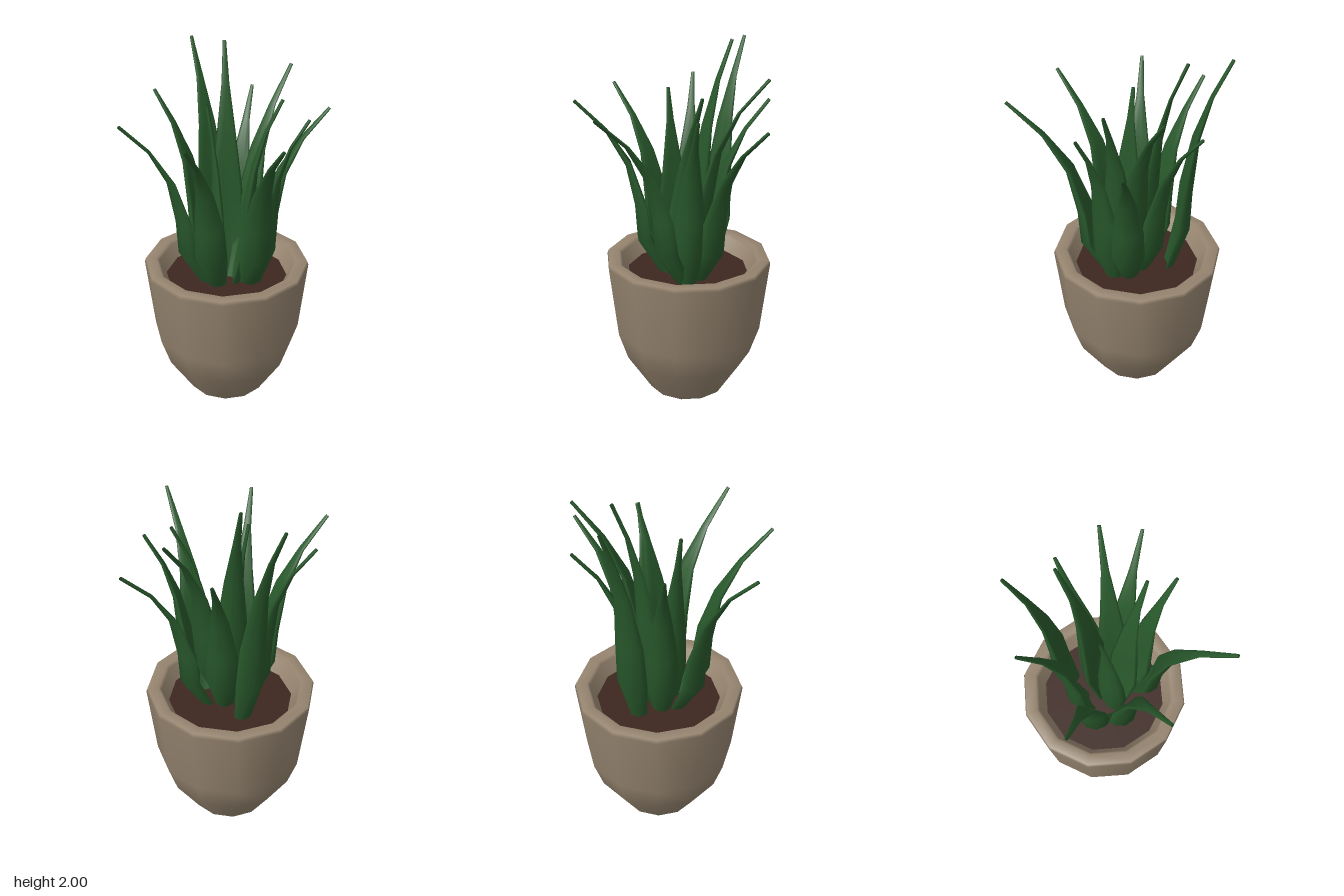
import * as THREE from 'three';

const SIDES = 12;

const material = (color) => new THREE.MeshStandardMaterial({ color });
const potMat = material(0x95846f);
const soilMat = material(0x3d2720);
const leafMat = material(0x28582b);

function addMesh(parent, name, geometry, mat) {
  const mesh = new THREE.Mesh(geometry, mat);
  mesh.name = name;
  parent.add(mesh);
  return mesh;
}

// Rings shared by every leaf: share of the rise, share of the lean, half-width
const RINGS = [
  { rise: 0, lean: -0.1, width: 0.052 },
  { rise: 0.22, lean: 0.17, width: 0.092 },
  { rise: 0.41, lean: 0.21, width: 0.084 },
  { rise: 0.65, lean: 0.36, width: 0.05 },
  { rise: 0.84, lean: 0.63, width: 0.021 },
  { rise: 1, lean: 1, width: 0.009 },
];
const SECTION = 10;
const FOOT_Y = 0.7;

// Leaf: crescent cross-sections swept from foot to tip, outer face bulging, edges curling inward
function leafGeometry(footX, footZ, tipX, tipY, tipZ) {
  const last = RINGS.length - 1;
  const pts = RINGS.map(({ rise, lean }) => new THREE.Vector3(
    THREE.MathUtils.lerp(footX, tipX, lean),
    THREE.MathUtils.lerp(FOOT_Y, tipY, rise),
    THREE.MathUtils.lerp(footZ, tipZ, lean),
  ));
  const side = pts[last].clone().sub(pts[0]).setY(0).normalize().cross(new THREE.Vector3(0, 1, 0));
  const pos = [], index = [];

  pts.forEach((p, i) => {
    const tangent = pts[Math.min(i + 1, last)].clone().sub(pts[Math.max(i - 1, 0)]).normalize();
    const out = tangent.clone().cross(side);
    const w = RINGS[i].width;
    const thick = Math.max(0.34 * w, 0.009);
    const curl = 0.55 * w * (1 - i / last);
    for (let j = 0; j < SECTION; j++) {
      const a = (j / SECTION) * Math.PI * 2;
      const u = Math.cos(a), v = Math.sin(a);
      const q = p.clone()
        .addScaledVector(side, u * w)
        .addScaledVector(out, v * thick + curl * (0.3 - u * u));
      pos.push(q.x, q.y, q.z);
    }
  });

  for (let i = 0; i < last; i++) {
    for (let j = 0; j < SECTION; j++) {
      const k = (j + 1) % SECTION;
      const a = i * SECTION + j, b = i * SECTION + k;
      index.push(a, b, b + SECTION, a, b + SECTION, a + SECTION);
    }
  }
  // Blunt tip
  const t = last * SECTION;
  for (let j = 1; j < SECTION - 1; j++) index.push(t, t + j, t + j + 1);

  const geo = new THREE.BufferGeometry();
  geo.setAttribute('position', new THREE.Float32BufferAttribute(pos, 3));
  geo.setIndex(index);
  geo.computeVertexNormals();
  return geo;
}

// Each leaf: foot x, foot z, tip x, tip y, tip z
const LEAVES = {
  leafLeftOuter: [-0.17, -0.11, -0.578, 1.7, -0.15],
  leafFrontLeft: [-0.13, 0.0, -0.428, 1.71, 0.315],
  leafFront: [0.07, 0.08, -0.04, 1.725, 0.565],
  leafBack: [0.03, -0.305, 0.025, 1.975, -0.56],
  leafBackLeft: [-0.08, -0.2, -0.25, 1.75, -0.455],
  leafBackRight: [0.08, -0.15, 0.315, 1.7, -0.395],
  leafRightTall: [0.06, -0.05, 0.445, 1.86, -0.195],
  leafRightOuter: [0.16, -0.05, 0.578, 1.65, -0.003],
  leafInnerRight: [0.03, -0.01, 0.235, 1.78, 0.08],
  leafFrontRight: [0.13, 0.05, 0.315, 1.7, 0.215],
  leafInnerLeft: [-0.06, -0.05, -0.12, 1.755, -0.08],
  leafInnerTall: [0.02, -0.13, 0.11, 2, -0.33],
};

export function createModel() {
  const model = new THREE.Group();
  model.name = 'pottedPlant';

  // Pot: twelve-sided wall with a rounded rim and sloping inside
  const pot = new THREE.Group();
  pot.name = 'pot';
  pot.position.z = -0.105;
  model.add(pot);
  const profile = [
    [0.222, 0], [0.362, 0.22], [0.415, 0.38], [0.463, 0.79], [0.455, 0.81],
    [0.395, 0.81], [0.38, 0.795], [0.33, 0.7],
  ].map(([r, y]) => new THREE.Vector2(r, y));
  addMesh(pot, 'potWall', new THREE.LatheGeometry(profile, SIDES), potMat);
  addMesh(pot, 'potBase', new THREE.CircleGeometry(0.222, SIDES).rotateX(Math.PI / 2), potMat);

  // Soil surface
  const soil = addMesh(pot, 'soil', new THREE.CircleGeometry(0.345, SIDES).rotateX(-Math.PI / 2), soilMat);
  soil.position.y = 0.72;

  // Leaves
  const plant = new THREE.Group();
  plant.name = 'plant';
  model.add(plant);
  for (const [name, ends] of Object.entries(LEAVES)) addMesh(plant, name, leafGeometry(...ends), leafMat);

  return model;
}
